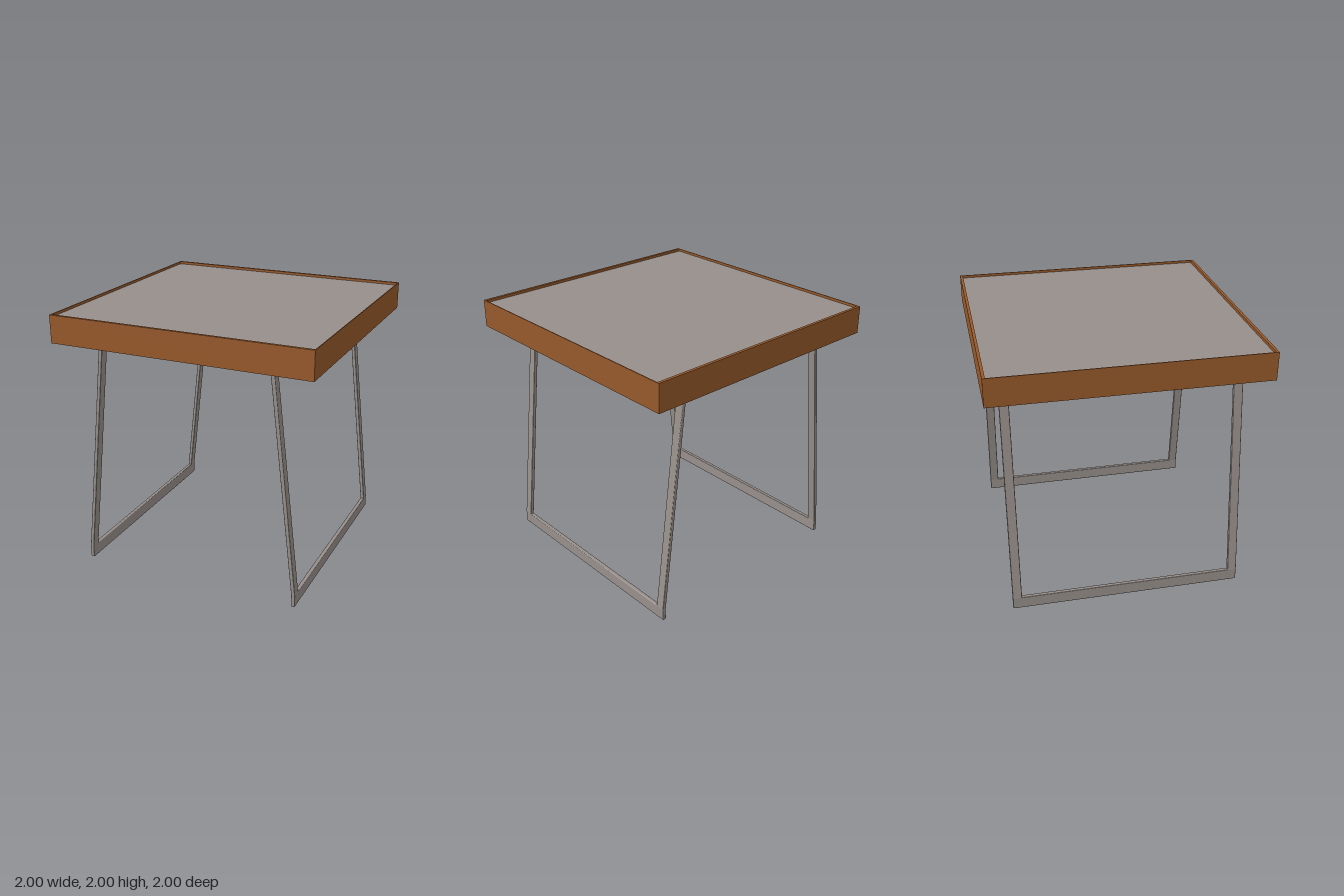
import * as THREE from 'three';
import { RoundedBoxGeometry } from 'three/addons/geometries/RoundedBoxGeometry.js';

const wood = new THREE.MeshStandardMaterial({ color: 0x96592b });
wood.name = 'brown wood';
const steel = new THREE.MeshStandardMaterial({ color: 0x978f8a });
steel.name = 'warm grey';

function addMesh(parent, name, geometry, material, x = 0, y = 0, z = 0) {
  const mesh = new THREE.Mesh(geometry, material);
  mesh.name = name;
  mesh.position.set(x, y, z);
  parent.add(mesh);
  return mesh;
}

// Rectangle outline centred on the origin
function rectangle(PathType, halfX, halfZ) {
  return new PathType([
    new THREE.Vector2(-halfX, -halfZ), new THREE.Vector2(halfX, -halfZ),
    new THREE.Vector2(halfX, halfZ), new THREE.Vector2(-halfX, halfZ),
  ]);
}

// Wooden rim with a recessed grey panel
function createTop() {
  const top = new THREE.Group();
  top.name = 'tableTop';
  const outline = rectangle(THREE.Shape, 1, 1);
  outline.holes.push(rectangle(THREE.Path, 0.993, 0.978));
  const rim = new THREE.ExtrudeGeometry(outline, { depth: 0.21, bevelEnabled: false });
  rim.rotateX(-Math.PI / 2);
  addMesh(top, 'rim', rim, wood, 0, 1.79, 0);
  addMesh(top, 'underside', new THREE.BoxGeometry(1.986, 0.17, 1.956), wood, 0, 1.875, 0);
  addMesh(top, 'topPanel', new THREE.BoxGeometry(1.986, 0.02, 1.956), steel, 0, 1.97, 0);
  return top;
}

// U-shaped sled leg: upright foot rail, posts leaning inward above it
function createLegFrame(side) {
  const frame = new THREE.Group();
  frame.name = side > 0 ? 'leftLegFrame' : 'rightLegFrame';
  const footX = 0.853, bendY = 0.095, topY = 1.78, lean = 0.112;
  addMesh(frame, 'footRail', new RoundedBoxGeometry(0.03, bendY, 1.76, 2, 0.006),
    steel, side * footX, bendY / 2, 0);

  const height = topY - bendY + 0.012;
  const shear = new THREE.Matrix4().set(
    1, -side * lean, 0, 0,
    0, 1, 0, 0,
    0, 0, 1, 0,
    0, 0, 0, 1);
  for (const end of [1, -1]) {
    const post = new RoundedBoxGeometry(0.03, height, 0.07, 2, 0.006);
    post.translate(0, height / 2 - 0.012, 0);
    post.applyMatrix4(shear);
    addMesh(frame, end > 0 ? 'frontLeg' : 'backLeg', post, steel,
      side * footX, bendY, end * 0.845);
  }
  return frame;
}

export function createModel() {
  const table = new THREE.Group();
  table.name = 'sideTable';
  table.add(createTop(), createLegFrame(1), createLegFrame(-1));
  return table;
}
